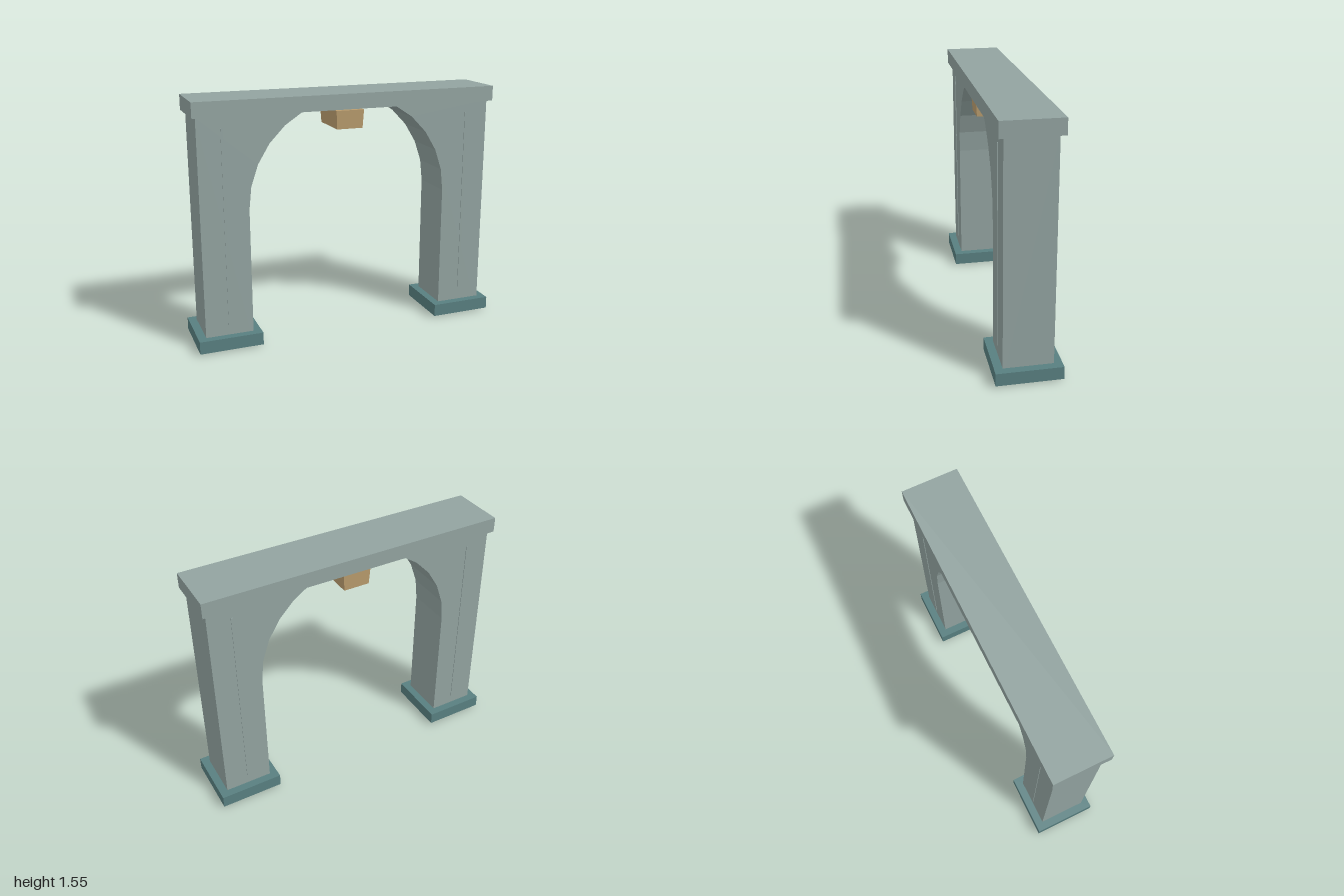
import * as THREE from 'three';

export function createModel() {
  const group = new THREE.Group();
  group.name = 'archway';

  const mat = (name, color) => {
    const m = new THREE.MeshStandardMaterial({ color });
    m.name = name;
    return m;
  };
  const stone = mat('greyStone', 0x92a3a0);
  const teal = mat('tealStone', 0x587f80);
  const tan = mat('tanStone', 0xba9d6e);

  const add = (name, geometry, material, x = 0, y = 0, z = 0) => {
    const mesh = new THREE.Mesh(geometry, material);
    mesh.name = name;
    mesh.position.set(x, y, z);
    group.add(mesh);
    return mesh;
  };

  // Arch opening: circle of radius 0.65 that runs into the underside of the cap
  const radius = 0.65, springY = 0.88, capBottom = 1.457, depth = 0.3;
  const endAngle = Math.asin((capBottom - springY) / radius);
  const steps = 5;

  for (const side of [-1, 1]) {
    const label = side > 0 ? 'left' : 'right';

    // Pillar and its half of the arch in one piece
    const points = [[0.95, 0], [0.95, capBottom]];
    for (let i = steps; i >= 0; i--) {
      const a = endAngle * i / steps;
      points.push([radius * Math.cos(a), springY + radius * Math.sin(a)]);
    }
    points.push([0.65, 0]);
    const shape = new THREE.Shape(points.map(([x, y]) => new THREE.Vector2(side * x, y)));
    const pillar = new THREE.ExtrudeGeometry(shape, { depth, bevelEnabled: false });
    pillar.translate(0, 0, -depth / 2);
    add(label + 'Pillar', pillar, stone);

    // Plinth around the foot
    add(label + 'Plinth', new THREE.BoxGeometry(0.4, 0.08, 0.4), teal, side * 0.8, 0.05, 0);

    // Narrow raised ribs on the front and back
    for (const face of [-1, 1]) {
      add(label + (face > 0 ? 'FrontRib' : 'BackRib'),
        new THREE.BoxGeometry(0.014, 1.23, 0.006), stone, side * 0.8, 0.77, face * 0.151);
    }
  }

  // Flat cap across the top
  add('cap', new THREE.BoxGeometry(1.95, 0.095, 0.36), stone, 0, 1.5025, 0);

  // Keystone, slightly narrower at its lower end
  const key = new THREE.BoxGeometry(0.18, 0.115, 0.3);
  const p = key.attributes.position;
  for (let i = 0; i < p.count; i++) {
    if (p.getY(i) < 0) p.setXYZ(i, p.getX(i) * 0.93, p.getY(i), p.getZ(i) * 0.95);
  }
  key.computeVertexNormals();
  add('keystone', key, tan, 0, 1.387, 0);

  return group;
}
